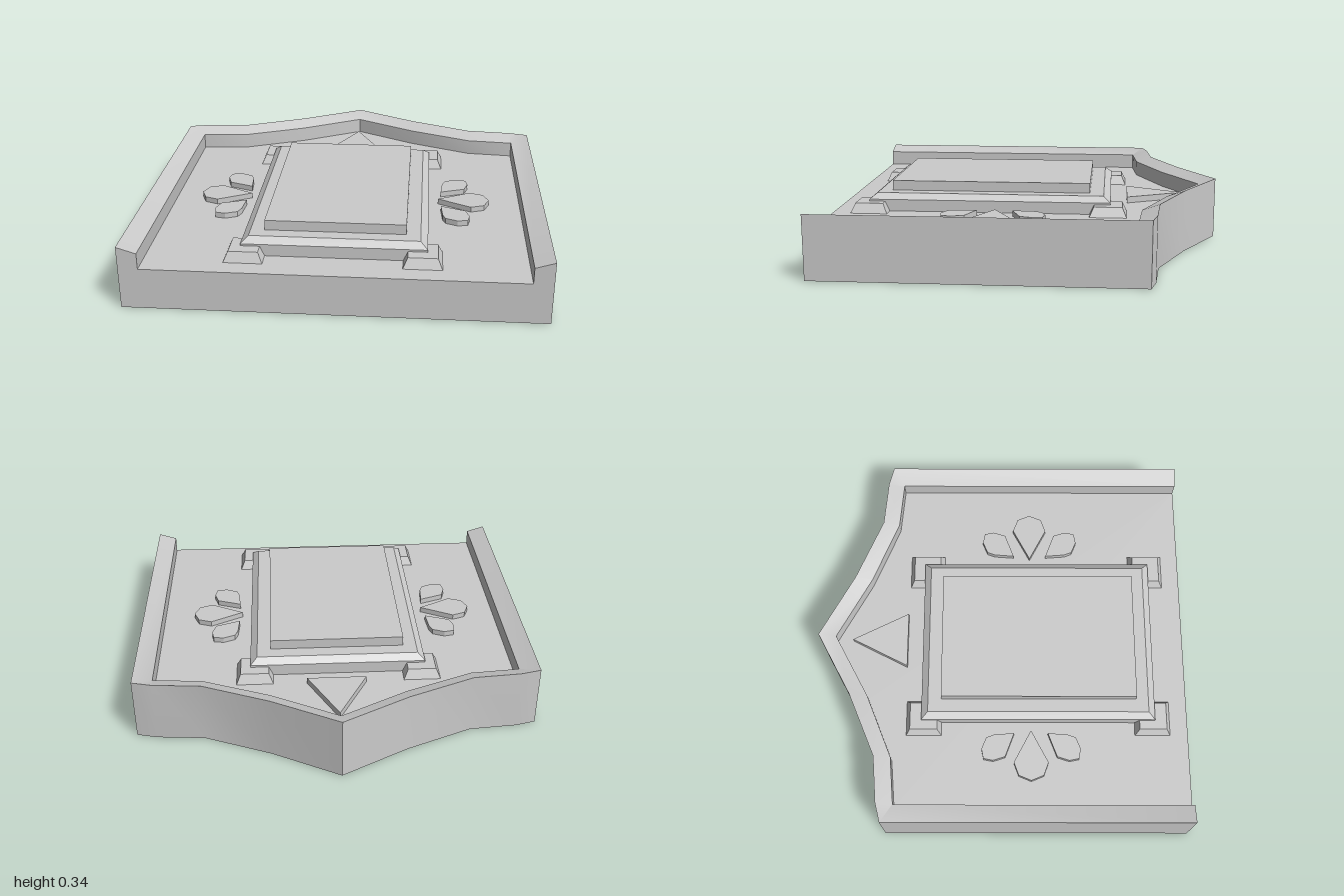
import * as THREE from 'three';
import { toCreasedNormals } from 'three/addons/utils/BufferGeometryUtils.js';

const FLOOR = 0.205, RIM = 0.315, LIP = 0.285, FRONT = 0.975;
const CX = -0.0125; // centre line of the raised details

export function createModel() {
  const group = new THREE.Group();
  const mat = new THREE.MeshStandardMaterial({ color: 0xcccccc, side: THREE.DoubleSide });
  const add = (name, geo) => {
    const mesh = new THREE.Mesh(geo, mat);
    mesh.name = name;
    group.add(mesh);
    return mesh;
  };

  // Box whose top is inset on all sides
  const block = (name, x0, x1, z0, z1, y0, y1, inset = 0) => {
    const geo = new THREE.BoxGeometry(x1 - x0, y1 - y0, z1 - z0);
    const p = geo.attributes.position;
    for (let i = 0; i < p.count; i++) {
      if (p.getY(i) < 0) continue;
      p.setX(i, p.getX(i) - Math.sign(p.getX(i)) * inset);
      p.setZ(i, p.getZ(i) - Math.sign(p.getZ(i)) * inset);
    }
    geo.translate((x0 + x1) / 2, (y0 + y1) / 2, (z0 + z1) / 2);
    geo.computeVertexNormals();
    add(name, geo);
  };

  // Flat plate from an outline of [x, z] points
  const plate = (name, pts, y0, h) => {
    const shape = new THREE.Shape(pts.map(([x, z]) => new THREE.Vector2(x, -z)));
    const geo = h
      ? new THREE.ExtrudeGeometry(shape, { depth: h, bevelEnabled: false })
      : new THREE.ShapeGeometry(shape);
    geo.rotateX(-Math.PI / 2).translate(0, y0, 0);
    add(name, geo);
  };

  // Right halves of the outlines, mirrored around the peaked back
  const mirror = (half) => [...half, ...half.slice(0, -1).reverse().map(([x, z]) => [-x, z])];
  const outer = mirror([[1, FRONT], [1, -0.61], [0.9, -0.635], [0.66, -0.655], [0.33, -0.795], [0, -0.975]]);
  const inner = mirror([[0.905, FRONT], [0.905, -0.55], [0.9, -0.55], [0.66, -0.57], [0.33, -0.705], [0, -0.885]]);

  // Open-bottomed shell: outer wall, sloped rim and inner wall
  const rings = [[outer, 0], [outer, RIM], [inner, LIP], [inner, FLOOR]];
  const pos = [], index = [], n = outer.length;
  for (const [pts, y] of rings) for (const [x, z] of pts) pos.push(x, y, z);
  for (let r = 0; r < rings.length - 1; r++) {
    for (let i = 0; i < n - 1; i++) {
      const a = r * n + i, b = a + 1, c = a + n, d = c + 1;
      index.push(a, b, c, b, d, c);
    }
  }
  const shell = new THREE.BufferGeometry();
  shell.setAttribute('position', new THREE.Float32BufferAttribute(pos, 3));
  shell.setIndex(index);
  add('rimWall', toCreasedNormals(shell, 0.6));

  // Front wall with the rim ends
  const front = new THREE.Shape([
    [-1, 0], [1, 0], [1, RIM], [0.905, LIP], [0.905, FLOOR],
    [-0.905, FLOOR], [-0.905, LIP], [-1, RIM],
  ].map(([x, y]) => new THREE.Vector2(x, y)));
  add('frontWall', new THREE.ShapeGeometry(front).translate(0, 0, FRONT));
  plate('floor', inner, FLOOR, 0);

  // Central bevelled frame and slab
  const y0 = FLOOR + 0.001;
  block('frameBase', -0.455, 0.43, -0.42, 0.8, y0, 0.265);
  block('frameBevel', -0.455, 0.43, -0.42, 0.8, 0.265, 0.293, 0.035);
  block('centreSlab', -0.352, 0.327, -0.315, 0.7, 0.293, 0.343);

  // Corner feet
  for (const s of [-1, 1]) {
    for (const z of [-0.408, 0.79]) {
      const x = CX + s * 0.42;
      block('cornerFoot', x - 0.0925, x + 0.0925, z - 0.0925, z + 0.0925, y0, 0.255, 0.022);
    }
  }

  // Petals on both sides: one large, two small
  const large = [[0.492, 0.153], [0.662, 0.063], [0.73, 0.088], [0.757, 0.153], [0.73, 0.218], [0.662, 0.243]];
  const small = [[0.507, 0.065], [0.515, -0.04], [0.53, -0.08], [0.59, -0.105], [0.642, -0.095], [0.652, -0.045], [0.632, 0.018]];
  for (const s of [-1, 1]) {
    const side = (pts) => pts.map(([x, z]) => [CX + s * x, z]);
    plate('largePetal', side(large), y0, 0.028);
    plate('backPetal', side(small), y0, 0.028);
    plate('frontPetal', side(small.map(([x, z]) => [x, 0.306 - z])), y0, 0.028);
  }

  // Pointer under the peak
  plate('triangle', [[-0.15, -0.505], [0.147, -0.505], [0, -0.8]], y0, 0.032);

  return group;
}
